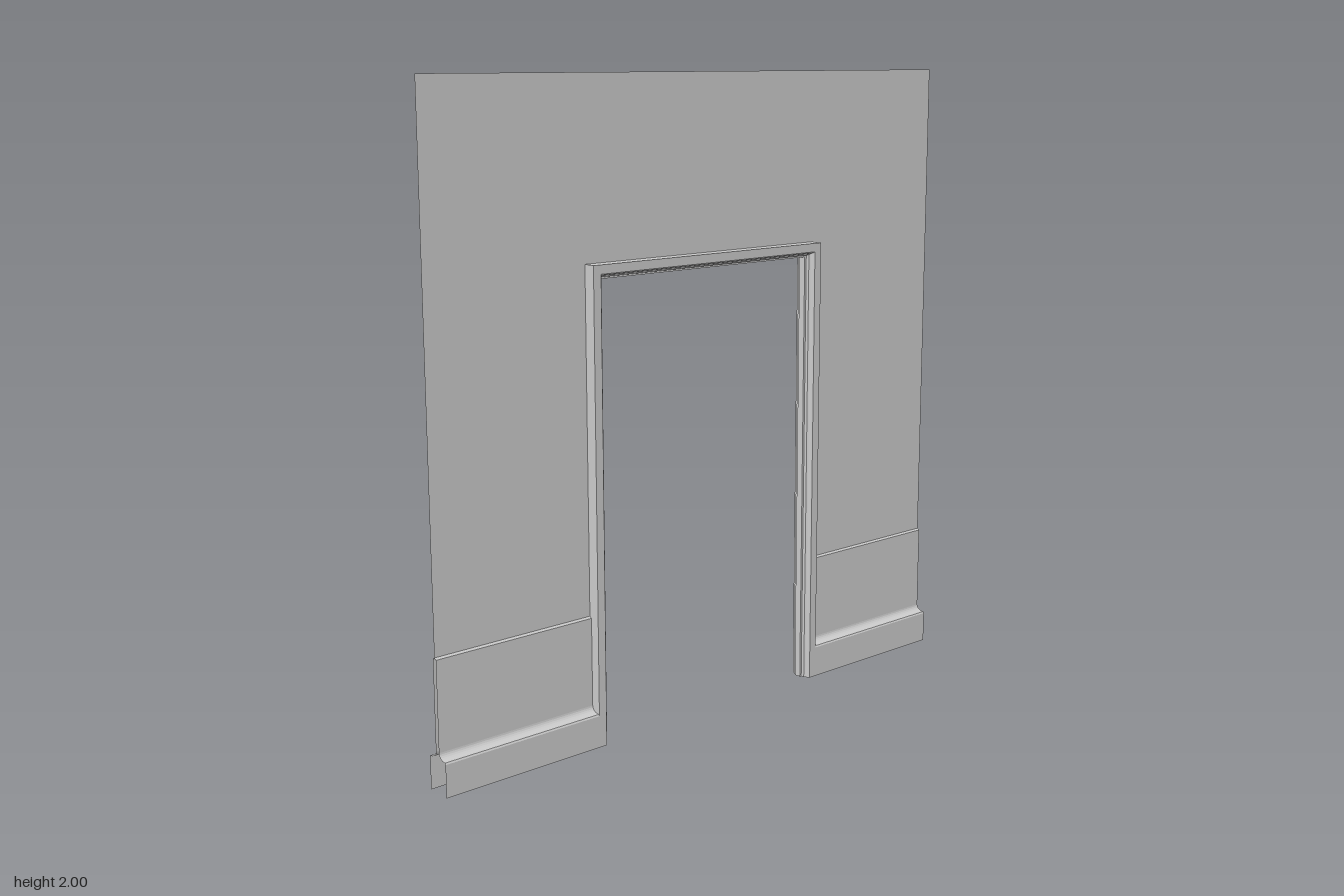
import * as THREE from 'three';

const material = new THREE.MeshStandardMaterial({ color: 0xcccccc, side: THREE.DoubleSide, flatShading: true });

// Skin a surface between successive cross-sections, each a list of [x, y, z].
function loft(name, sections) {
  const pos = [];
  for (let i = 0; i + 1 < sections.length; i++) {
    const a = sections[i], b = sections[i + 1];
    for (let j = 0; j + 1 < a.length; j++) {
      pos.push(...a[j], ...b[j], ...b[j + 1], ...a[j], ...b[j + 1], ...a[j + 1]);
    }
  }
  const geo = new THREE.BufferGeometry();
  geo.setAttribute('position', new THREE.Float32BufferAttribute(pos, 3));
  geo.computeVertexNormals();
  const mesh = new THREE.Mesh(geo, material);
  mesh.name = name;
  return mesh;
}

// Complete a half profile [a, z] running to z = 0 with its mirror on the other side.
const mirrorZ = (half) => [...half, ...half.slice(0, -1).reverse().map(([a, z]) => [a, -z])];

export function createModel() {
  const group = new THREE.Group();
  const outerX = 0.457, outerY = 1.46, dado = 0.405;

  // Thin upper wall around the doorway
  const shape = new THREE.Shape([
    [-1, dado], [-outerX, dado], [-outerX, outerY], [outerX, outerY],
    [outerX, dado], [1, dado], [1, 2], [-1, 2],
  ].map(([x, y]) => new THREE.Vector2(x, y)));
  const wall = new THREE.Mesh(new THREE.ShapeGeometry(shape), material);
  wall.name = 'wall';
  group.add(wall);

  // Plinth, cove and low panel on both faces, open at the ends: [y, z]
  const cove = [];
  for (let i = 0; i <= 6; i++) {
    const t = (i / 6) * Math.PI / 2;
    cove.push([0.125 - 0.02 * Math.cos(t), 0.033 - 0.0255 * Math.sin(t)]);
  }
  const skirting = mirrorZ([[0, 0.04], [0.1, 0.04], [0.105, 0.037], ...cove, [0.4, 0.0075], [dado, 0]]);
  for (const side of [1, -1]) {
    group.add(loft(side > 0 ? 'leftSkirting' : 'rightSkirting',
      [outerX, 1].map((x) => skirting.map(([y, z]) => [side * x, y, z]))));
  }

  // Moulded door frame swept up, across and down with mitred corners: [inset, z]
  const jamb = mirrorZ([[0, 0], [0, 0.04], [0.027, 0.04], [0.031, 0.036], [0.033, 0.028],
    [0.038, 0.024], [0.038, 0.012], [0.045, 0.012], [0.045, 0]]);
  const path = [[1, 0], [1, 1], [-1, 1], [-1, 0]];
  group.add(loft('doorFrame', path.map(([s, top]) =>
    jamb.map(([d, z]) => [s * (outerX - d), top * (outerY - d), z]))));

  return group;
}
